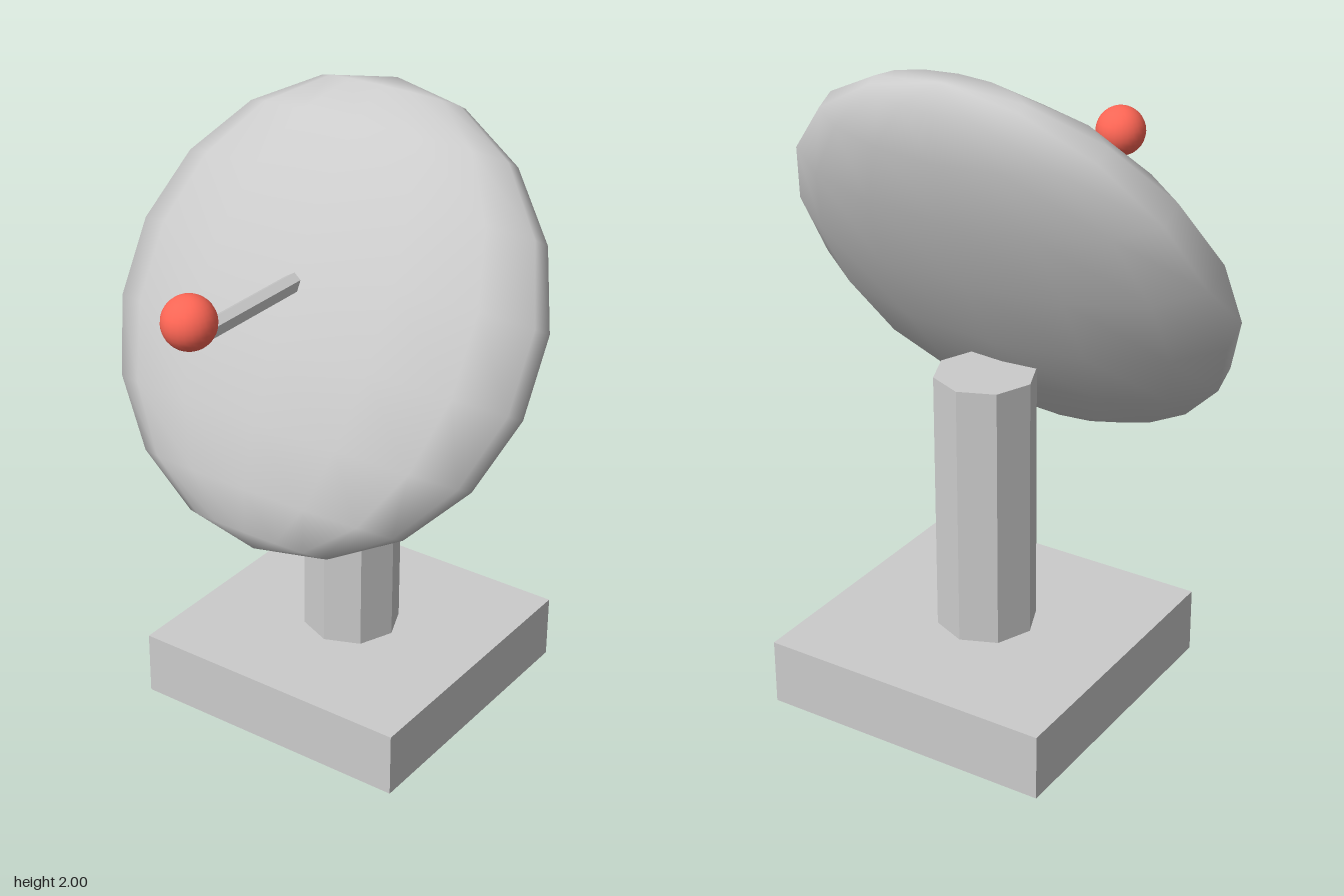
import * as THREE from 'three';

const grey = new THREE.MeshStandardMaterial({ color: 0xcccccc });
const greyFlat = new THREE.MeshStandardMaterial({ color: 0xcccccc, flatShading: true });
const red = new THREE.MeshStandardMaterial({ color: 0xff6655 });

function part(group, name, geometry, material, x, y, z) {
  const mesh = new THREE.Mesh(geometry, material);
  mesh.name = name;
  mesh.position.set(x, y, z);
  group.add(mesh);
  return mesh;
}

export function createModel() {
  const group = new THREE.Group();
  group.name = 'dishAntenna';

  // Square base slab and octagonal mast, set towards the back
  part(group, 'base', new THREE.BoxGeometry(0.945, 0.21, 0.945), greyFlat, 0, 0.105, -0.198);
  const mastBottom = 0.01, mastTop = 1.055;
  part(group, 'mast', new THREE.CylinderGeometry(0.157, 0.157, mastTop - mastBottom, 8), greyFlat,
    0, (mastTop + mastBottom) / 2, -0.198);

  // Dish: a flattened coarse sphere tilted back by 30 degrees
  const dishShape = new THREE.SphereGeometry(1, 14, 9, Math.PI / 2).scale(0.732, 0.732, 0.228);
  const dish = part(group, 'dish', dishShape, grey, 0, 1.367, -0.042);
  dish.rotation.x = -Math.PI / 6;

  // Hexagonal feed arm, from inside the dish to the receiver ball
  const armBack = 0.0, armFront = 0.585;
  const armShape = new THREE.CylinderGeometry(0.03, 0.03, armFront - armBack, 6).rotateX(Math.PI / 2);
  part(group, 'feedArm', armShape, greyFlat, 0, 1.525, (armBack + armFront) / 2);

  part(group, 'receiver', new THREE.SphereGeometry(0.08, 24, 16), red, 0, 1.58, 0.592);

  return group;
}
